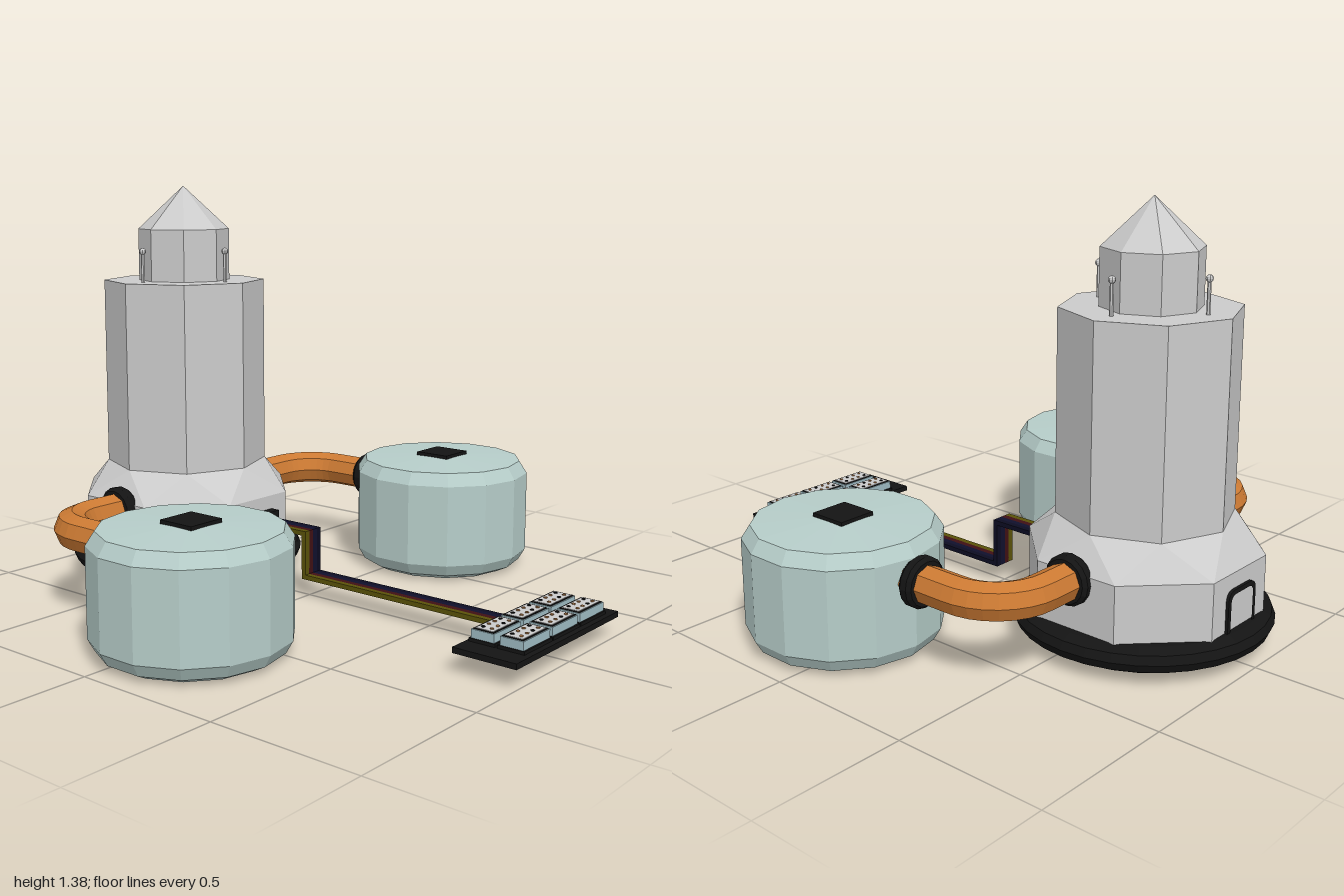
import * as THREE from 'three';
import { ConvexGeometry } from 'three/addons/geometries/ConvexGeometry.js';

const V = (x, y, z) => new THREE.Vector3(x, y, z);
const mat = (color) => new THREE.MeshStandardMaterial({ color, flatShading: true });
const grey = mat(0xcccccc), black = mat(0x141414), orange = mat(0xcc7a33),
  teal = mat(0xb6cdc9), paleBlue = mat(0x9fbcc4), copper = mat(0xb07a48);

const TOWER_X = -0.584;

function add(parent, name, geometry, material, x = 0, y = 0, z = 0) {
  const mesh = new THREE.Mesh(geometry, material);
  mesh.name = name;
  mesh.position.set(x, y, z);
  parent.add(mesh);
  return mesh;
}

const box = (w, h, d) => new THREE.BoxGeometry(w, h, d);

// Ring of points of a regular polygon
function polygon(r, y, sides, turn) {
  return Array.from({ length: sides }, (_, i) => {
    const a = ((i + turn) / sides) * Math.PI * 2;
    return V(r * Math.cos(a), y, r * Math.sin(a));
  });
}

function lathe(points, sides, turn = 0) {
  return new THREE.LatheGeometry(points.map(([r, y]) => new THREE.Vector2(r, y)), sides, turn);
}

function buildTower() {
  const tower = new THREE.Group();
  tower.name = 'tower';
  tower.position.x = TOWER_X;

  // Base octagon is turned half a step, so its shoulder is a band of triangles
  add(tower, 'base', new ConvexGeometry([
    ...polygon(0.379, 0.05, 8, 0.5), ...polygon(0.379, 0.3, 8, 0.5), ...polygon(0.283, 0.4, 8, 0),
  ]), grey);
  add(tower, 'shaft', new THREE.CylinderGeometry(0.283, 0.283, 0.66, 8), grey, 0, 0.72, 0);
  add(tower, 'cupola', new THREE.CylinderGeometry(0.16, 0.16, 0.19, 8), grey, 0, 1.135, 0);
  add(tower, 'roof', new THREE.ConeGeometry(0.16, 0.15, 8), grey, 0, 1.305, 0);

  // Flattened foot ring
  const ring = new THREE.TorusGeometry(0.355, 0.06, 10, 32).rotateX(Math.PI / 2).scale(1, 0.75, 1);
  add(tower, 'footRing', ring, black, 0, 0.075, 0);

  // Four antennas around the cupola
  for (const p of polygon(0.2, 1.05, 4, 0)) {
    add(tower, 'antennaRod', new THREE.CylinderGeometry(0.006, 0.006, 0.11, 6), grey, p.x, 1.1, p.z);
    add(tower, 'antennaBall', new THREE.SphereGeometry(0.012, 8, 6), grey, p.x, 1.157, p.z);
  }

  // Arched door frame on the -x face
  const frame = new THREE.Shape();
  frame.moveTo(-0.075, 0.1).lineTo(-0.075, 0.215).quadraticCurveTo(-0.075, 0.25, -0.04, 0.25)
    .lineTo(0.04, 0.25).quadraticCurveTo(0.075, 0.25, 0.075, 0.215).lineTo(0.075, 0.1);
  const opening = new THREE.Path();
  opening.moveTo(-0.06, 0.105).lineTo(-0.06, 0.21).quadraticCurveTo(-0.06, 0.235, -0.035, 0.235)
    .lineTo(0.035, 0.235).quadraticCurveTo(0.06, 0.235, 0.06, 0.21).lineTo(0.06, 0.105);
  frame.holes.push(opening);
  const door = new THREE.ExtrudeGeometry(frame, { depth: 0.015, bevelEnabled: false, curveSegments: 5 });
  add(tower, 'doorFrame', door, black, -0.345, 0, 0).rotation.y = -Math.PI / 2;
  return tower;
}

// Storage tank with its feed pipe, on the side given by s
function buildTank(s) {
  const group = new THREE.Group();
  group.name = s > 0 ? 'frontTank' : 'backTank';
  const z = 0.653 * s, pipeX = -0.563, pipeY = 0.275;

  const profile = [[0, 0], [0.25, 0], [0.29, 0.02], [0.313, 0.06], [0.313, 0.345], [0.285, 0.388], [0, 0.402]];
  add(group, 'tankBody', lathe(profile, 14, Math.PI / 14), teal, 0.09, 0, z);
  add(group, 'hatch', box(0.13, 0.02, 0.13), black, 0.09, 0.4, z);

  const path = new THREE.CurvePath();
  const bend = 0.17, k = 0.55 * bend;
  const a = V(pipeX, pipeY, z - bend * s), b = V(pipeX + bend, pipeY, z);
  path.add(new THREE.LineCurve3(V(pipeX, pipeY, 0.3 * s), a));
  path.add(new THREE.CubicBezierCurve3(a, V(pipeX, pipeY, a.z + k * s), V(b.x - k, pipeY, z), b));
  path.add(new THREE.LineCurve3(b, V(-0.2, pipeY, z)));
  add(group, 'pipe', new THREE.TubeGeometry(path, 18, 0.06, 8), orange);

  // Rounded collars at both pipe ends
  const collar = lathe([[0.05, -0.025], [0.07, -0.025], [0.08, -0.012], [0.08, 0.012], [0.07, 0.025], [0.05, 0.025]], 16);
  add(group, 'tankCollar', collar, black, -0.248, pipeY, z).rotation.z = Math.PI / 2;
  add(group, 'towerCollar', collar, black, pipeX, pipeY, 0.352 * s).rotation.x = Math.PI / 2;
  return group;
}

// Cables leave the tower, drop near the middle and run to the panel
function buildCables() {
  const group = new THREE.Group();
  group.name = 'cables';
  add(group, 'cableOutlet', box(0.05, 0.03, 0.14), black, -0.225, 0.237, 0);
  add(group, 'cableOutletBlock', box(0.03, 0.1, 0.09), black, -0.235, 0.19, 0);
  const colors = [0x5a5208, 0x401014, 0x10102c, 0x0c0c22];
  colors.forEach((color, i) => {
    const z = 0.024 - i * 0.02, m = mat(color), t = 0.016, w = 0.021;
    add(group, 'upperCable', box(0.25, t, w), m, -0.115, 0.222, z);
    add(group, 'cableDrop', box(t, 0.167, w), m, 0.002, 0.1465, z);
    add(group, 'lowerCable', box(0.82, t, w), m, 0.404, 0.071, z);
  });
  return group;
}

function buildPanel() {
  const group = new THREE.Group();
  group.name = 'panel';
  add(group, 'panelBase', box(0.215, 0.018, 0.6), black, 0.8925, 0.069, 0);
  for (const x of [0.838, 0.936]) {
    for (const z of [-0.175, -0.013, 0.149]) {
      const cell = new THREE.Group();
      cell.name = 'cell';
      cell.position.set(x, 0, z);
      group.add(cell);
      add(cell, 'cellFoot', box(0.09, 0.012, 0.156), black, 0, 0.082, 0);
      add(cell, 'cellBody', box(0.078, 0.03, 0.148), paleBlue, 0, 0.1, 0);
      add(cell, 'cellRim', box(0.07, 0.003, 0.14), black, 0, 0.116, 0);
      add(cell, 'cellFace', box(0.06, 0.004, 0.13), grey, 0, 0.117, 0);
      // Two rows of four studs
      for (let i = 0; i < 8; i++) {
        add(cell, 'stud', new THREE.CylinderGeometry(0.006, 0.006, 0.004, 6), i % 3 ? copper : black,
          i % 2 ? 0.015 : -0.015, 0.12, (Math.floor(i / 2) - 1.5) * 0.031);
      }
    }
  }
  return group;
}

export function createModel() {
  const model = new THREE.Group();
  model.name = 'outpost';
  model.add(buildTower(), buildTank(1), buildTank(-1), buildCables(), buildPanel());
  return model;
}
